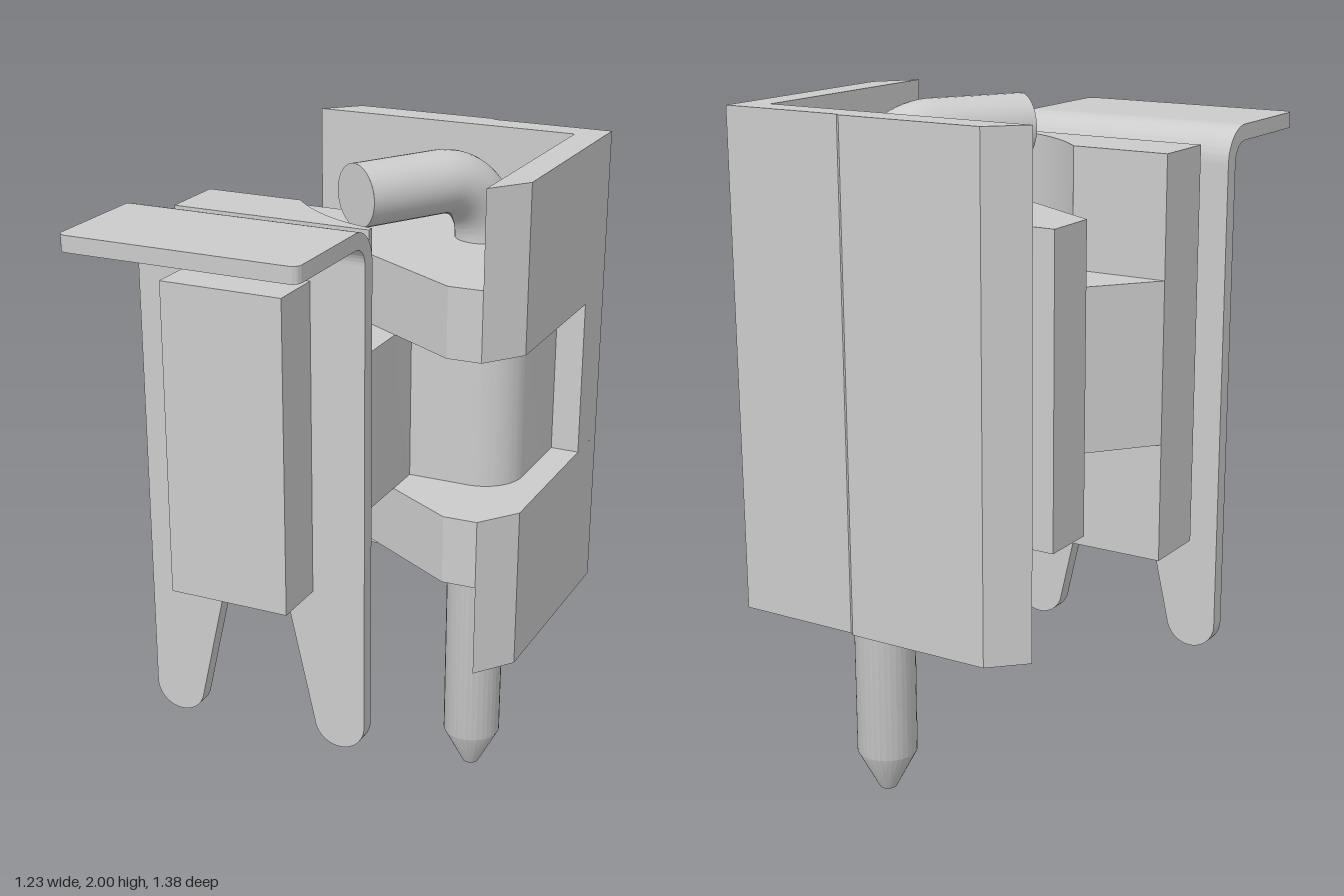
import * as THREE from 'three';
import { toCreasedNormals } from 'three/addons/utils/BufferGeometryUtils.js';

const material = new THREE.MeshStandardMaterial({ color: 0xcccccc });

function addMesh(parent, name, geometry, crease = 0.5) {
  const mesh = new THREE.Mesh(toCreasedNormals(geometry, crease), material);
  mesh.name = name;
  parent.add(mesh);
  return mesh;
}

const polygon = (points) => new THREE.Shape(points.map(([x, y]) => new THREE.Vector2(x, y)));

// Extrudes a plan outline (x, z) upwards from y0 to y1
function prism(shape, y0, y1) {
  return new THREE.ExtrudeGeometry(shape, { depth: y1 - y0, bevelEnabled: false, curveSegments: 12 })
    .rotateX(Math.PI / 2).translate(0, y1, 0);
}

// Box given by its limits
function box(x0, x1, y0, y1, z0, z1) {
  return new THREE.BoxGeometry(x1 - x0, y1 - y0, z1 - z0)
    .translate((x0 + x1) / 2, (y0 + y1) / 2, (z0 + z1) / 2);
}

// Heights of the slot that the arm passes through
const SLOT0 = 1.07, SLOT1 = 1.53;

function buildHousing(group) {
  // Corner-shaped shell, with its side wall cut away at the slot
  const shell = polygon([[-0.376, -0.565], [-0.283, -0.656], [0.137, -0.656], [0.15, -0.646],
    [0.507, -0.646], [0.508, 0.007], [0.425, 0.117], [0.423, -0.565]]);
  const shellAtSlot = polygon([[-0.376, -0.565], [-0.283, -0.656], [0.137, -0.656], [0.15, -0.646],
    [0.507, -0.646], [0.507, -0.485], [0.423, -0.485], [0.423, -0.565]]);
  addMesh(group, 'housingLower', prism(shell, 0.6, SLOT0));
  addMesh(group, 'housingMiddle', prism(shellAtSlot, SLOT0, SLOT1));
  addMesh(group, 'housingUpper', prism(shell, SLOT1, 2));

  // Inner core with a slanted front and a lip on one side
  const back = [[0.423, -0.565], [-0.172, -0.565], [-0.172, -0.457], [-0.374, -0.457], [-0.374, -0.295]];
  const core = polygon([...back, [0.326, 0.12], [0.425, 0.117]]);
  const coreAtSlot = polygon([...back, [0.122, -0.001], [0.122, -0.115]]);
  coreAtSlot.lineTo(0.303, -0.115);
  coreAtSlot.absarc(0.303, -0.235, 0.12, Math.PI / 2, 0, true);
  addMesh(group, 'coreLower', prism(core, 0.87, SLOT0));
  addMesh(group, 'coreMiddle', prism(coreAtSlot, SLOT0, SLOT1));
  addMesh(group, 'coreUpper', prism(core, SLOT1, 1.73));
}

function buildCarrier(group) {
  // Block behind the plate, hollowed by a curve next to the core
  const block = polygon([[-0.462, 0.172], [-0.462, -0.025], [-0.177, -0.025]]);
  block.bezierCurveTo(-0.1, 0.06, 0.0, 0.13, 0.122, 0.153);
  block.lineTo(0.122, 0.172);
  addMesh(group, 'carrierBlock', prism(block, 0.73, 1.87));

  // Arm joining the block to the core
  const arm = polygon([[-0.462, 0.17], [-0.462, -0.025], [-0.287, -0.244], [0.05, -0.25],
    [0.122, -0.115], [0.122, 0.17]]);
  addMesh(group, 'arm', prism(arm, SLOT0, SLOT1));

  // Box that runs through the plate, with a small rounded key on top
  addMesh(group, 'throughBox', box(-0.348, 0.009, 0.85, 1.75, 0.165, 0.455));
  const key = polygon([[-0.275, 1.7], [-0.075, 1.7]]);
  key.absarc(-0.1, 1.75, 0.025, 0, Math.PI / 2);
  key.absarc(-0.25, 1.75, 0.025, Math.PI / 2, Math.PI);
  addMesh(group, 'key', new THREE.ExtrudeGeometry(key, { depth: 0.13, bevelEnabled: false })
    .translate(0, 0, 0.165));
}

function buildPlate(group) {
  const x0 = -0.51, x1 = 0.167, back = 0.247, thick = 0.045, bendY = 1.81, r = 0.1;

  // Upright plate with two tapering, round-ended legs
  const plate = polygon([[x0, bendY], [x0, 0.448]]);
  plate.absarc(x0 + 0.078, 0.448, 0.078, Math.PI, Math.PI * 1.96);
  plate.lineTo(-0.255, 0.88);
  plate.lineTo(-0.088, 0.88);
  plate.absarc(x1 - 0.078, 0.448, 0.078, Math.PI * 1.04, Math.PI * 2);
  plate.lineTo(x1, bendY);
  addMesh(group, 'plate', new THREE.ExtrudeGeometry(plate, { depth: thick, bevelEnabled: false })
    .translate(0, 0, back));

  // Rounded bend, as a (z, y) section swept across the width
  const bend = new THREE.Shape();
  bend.absarc(back + r, bendY, r, Math.PI, Math.PI / 2, true);
  bend.absarc(back + r, bendY, r - thick, Math.PI / 2, Math.PI, false);
  addMesh(group, 'plateBend', new THREE.ExtrudeGeometry(bend, { depth: x1 - x0, bevelEnabled: false })
    .rotateY(-Math.PI / 2).translate(x1, 0, 0));

  // Flange with rounded front corners
  const front = 0.672, c = 0.025;
  const flange = polygon([[x0, back + r], [x1, back + r]]);
  flange.absarc(x1 - c, front - c, c, 0, Math.PI / 2);
  flange.absarc(x0 + c, front - c, c, Math.PI / 2, Math.PI);
  addMesh(group, 'flange', prism(flange, bendY + r - thick, bendY + r));
}

function buildPin(group) {
  const radius = 0.088, bendR = 0.17, top = 1.91;
  const foot = new THREE.Vector3(0.297, 0, -0.325);
  const dir = new THREE.Vector3(-0.652, 0, 0.758).normalize();
  const at = (along, y) => foot.clone().addScaledVector(dir, along).setY(y);

  // Straight shank with a blunt conical point
  const profile = [[0, 0], [0.025, 0], [radius, 0.12], [radius, top - bendR]]
    .map(([x, y]) => new THREE.Vector2(x, y));
  addMesh(group, 'pinShank', new THREE.LatheGeometry(profile, 32).translate(foot.x, 0, foot.z));

  // Bent upper end
  const path = new THREE.CurvePath();
  const k = bendR * 0.448;
  path.add(new THREE.CubicBezierCurve3(at(0, top - bendR), at(0, top - k), at(k, top), at(bendR, top)));
  path.add(new THREE.LineCurve3(at(bendR, top), at(0.445, top)));
  addMesh(group, 'pinBend', new THREE.TubeGeometry(path, 40, radius, 32));

  // End face
  const cap = addMesh(group, 'pinEnd', new THREE.CircleGeometry(radius, 32));
  cap.position.copy(at(0.445, top));
  cap.rotation.y = Math.atan2(dir.x, dir.z);
}

export function createModel() {
  const model = new THREE.Group();
  model.name = 'latch';

  // The body is turned slightly about the vertical
  const body = new THREE.Group();
  body.name = 'body';
  body.rotation.y = -THREE.MathUtils.degToRad(10);
  model.add(body);
  buildHousing(body);
  buildCarrier(body);
  buildPlate(body);

  const pin = new THREE.Group();
  pin.name = 'pin';
  model.add(pin);
  buildPin(pin);
  return model;
}
